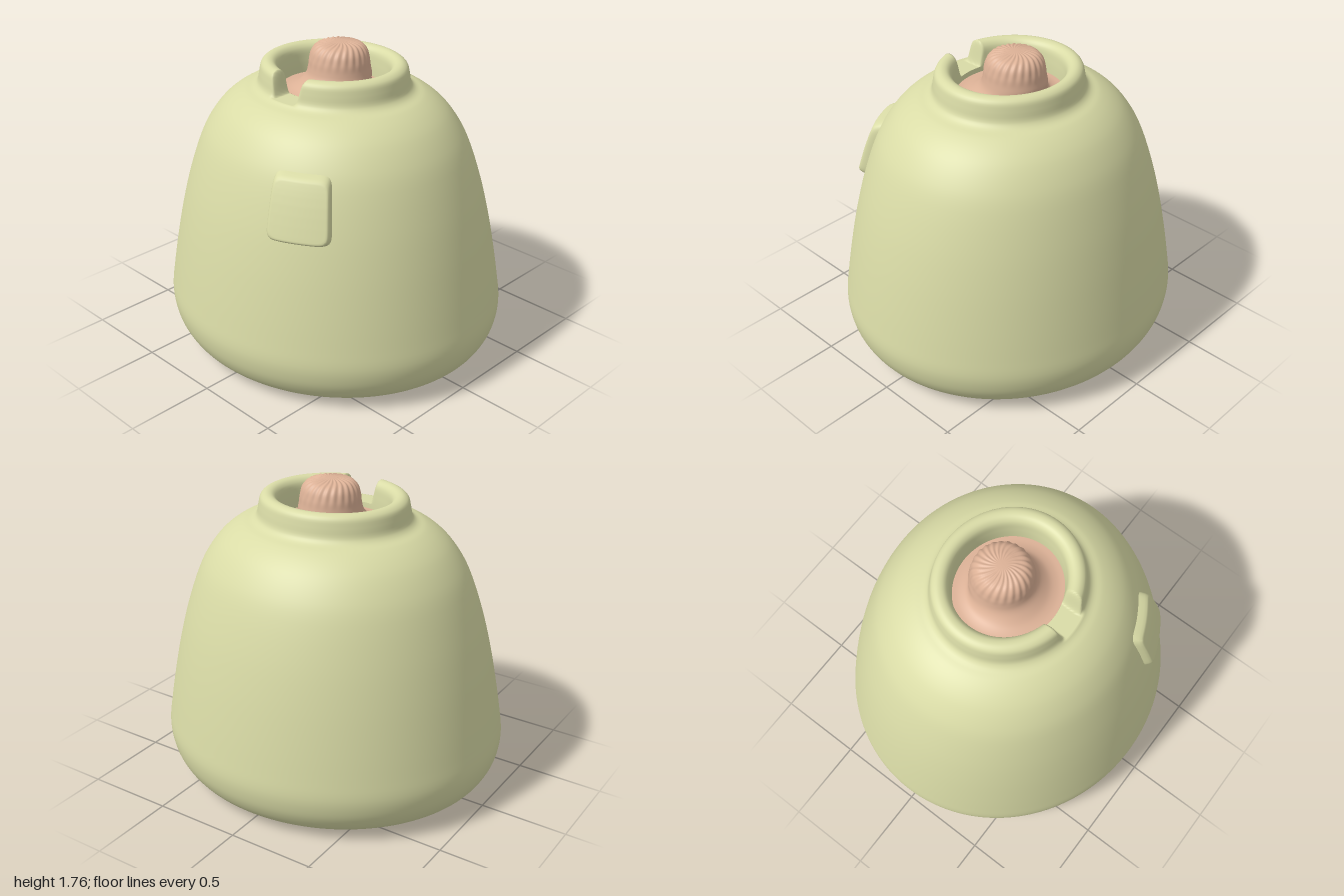
import * as THREE from 'three';
import { mergeVertices } from 'three/addons/utils/BufferGeometryUtils.js';

const DEPTH = 0.925; // the body is slightly oval
const smooth = THREE.MathUtils.smoothstep;

// Smooth profile through [radius, height] points
function profile(points, steps) {
  const curve = new THREE.CatmullRomCurve3(points.map(([r, y]) => new THREE.Vector3(r, y, 0)), false, 'centripetal');
  return curve.getPoints((points.length - 1) * steps).map((p) => new THREE.Vector2(Math.max(0, p.x), Math.max(0, p.y)));
}

// Move every vertex by a rule, then rebuild seamless smooth normals
function reshape(geometry, rule) {
  const pos = geometry.attributes.position;
  const v = new THREE.Vector3();
  for (let i = 0; i < pos.count; i++) {
    v.fromBufferAttribute(pos, i);
    rule(v);
    pos.setXYZ(i, v.x, v.y, v.z);
  }
  geometry.deleteAttribute('normal');
  geometry.deleteAttribute('uv');
  const merged = mergeVertices(geometry, 1e-5);
  merged.computeVertexNormals();
  return merged;
}

const bodyProfile = profile([
  [0, 0], [0.4, 0], [0.72, 0], [0.8, 0.009], [0.87, 0.032], [0.93, 0.078], [0.975, 0.15], [0.995, 0.22],
  [1, 0.29], [0.985, 0.4], [0.95, 0.6], [0.908, 0.8], [0.855, 1.0], [0.785, 1.2], [0.735, 1.3],
  [0.66, 1.4], [0.59, 1.46], [0.52, 1.5], [0.465, 1.52], [0.44, 1.545], [0.428, 1.6],
  [0.415, 1.645], [0.385, 1.664], [0.35, 1.66], [0.326, 1.635], [0.316, 1.58], [0.312, 1.53], [0.31, 1.46],
], 4);

// Radius of the outer body wall at a given height
function wallRadius(y) {
  const i = bodyProfile.findIndex((p, k) => k > 12 && p.y >= y);
  const a = bodyProfile[i - 1], b = bodyProfile[i];
  return a.x + (b.x - a.x) * (y - a.y) / (b.y - a.y);
}

// Body and collar in one skin, with a notch pressed into the front of the collar
function makeBody() {
  const floor = 1.53;
  return reshape(new THREE.LatheGeometry(bodyProfile, 340, Math.PI), (v) => {
    v.z *= DEPTH;
    if (v.z > 0 && v.y > floor) {
      const keep = smooth(Math.abs(v.x - 0.02), 0.072, 0.112);
      v.y = floor + (v.y - floor) * keep;
    }
  });
}

// Soft raised patch that follows the body wall
function makePatch() {
  const phi0 = THREE.MathUtils.degToRad(29.7), halfPhi = THREE.MathUtils.degToRad(12.3);
  const midY = 1.123, halfY = 0.175;
  return reshape(new THREE.PlaneGeometry(2, 2, 48, 48), (v) => {
    // Round the corners of the square outline
    const m = Math.max(Math.abs(v.x), Math.abs(v.y));
    const n = Math.pow(v.x ** 8 + v.y ** 8, 1 / 8);
    const k = n > 0 ? m / n : 1;
    const phi = phi0 + v.x * k * halfPhi;
    const y = midY + v.y * k * halfY;
    const r = wallRadius(y) - 0.015 + 0.06 * Math.sqrt(smooth(1 - m, 0, 0.16));
    v.set(Math.sin(phi) * r, y, Math.cos(phi) * r * DEPTH);
  });
}

// Inner disc flaring up into a fluted knob set slightly to the back
function makeKnob() {
  const points = profile([
    [0.325, 1.5], [0.27, 1.503], [0.225, 1.52], [0.19, 1.56], [0.173, 1.62], [0.167, 1.67],
    [0.153, 1.715], [0.125, 1.745], [0.08, 1.758], [0.04, 1.761], [0, 1.762],
  ], 5);
  return reshape(new THREE.LatheGeometry(points, 264, Math.PI), (v) => {
    const r = Math.hypot(v.x, v.z);
    const angle = Math.atan2(v.x, v.z);
    const wave = 0.5 + 0.5 * Math.cos(24 * (angle + r * 3));
    const flute = wave * smooth(v.y, 1.62, 1.7) * smooth(r, 0.02, 0.09);
    const rise = smooth(v.y, 1.5, 1.6);
    const s = 1 - 0.025 * flute;
    v.x *= s;
    v.z = v.z * s * (DEPTH + (1 - DEPTH) * rise) - 0.04 * rise;
    v.y -= 0.004 * flute;
  });
}

export function createModel() {
  const shell = new THREE.MeshStandardMaterial({ color: 0xd9dba6 });
  shell.name = 'pale olive';
  const core = new THREE.MeshStandardMaterial({ color: 0xdcb196 });
  core.name = 'soft salmon';

  const model = new THREE.Group();
  model.name = 'pot';
  const add = (name, geometry, material) => {
    const mesh = new THREE.Mesh(geometry, material);
    mesh.name = name;
    model.add(mesh);
  };
  add('bodyWithCollar', makeBody(), shell);
  add('raisedPatch', makePatch(), shell);
  add('knob', makeKnob(), core);
  return model;
}
